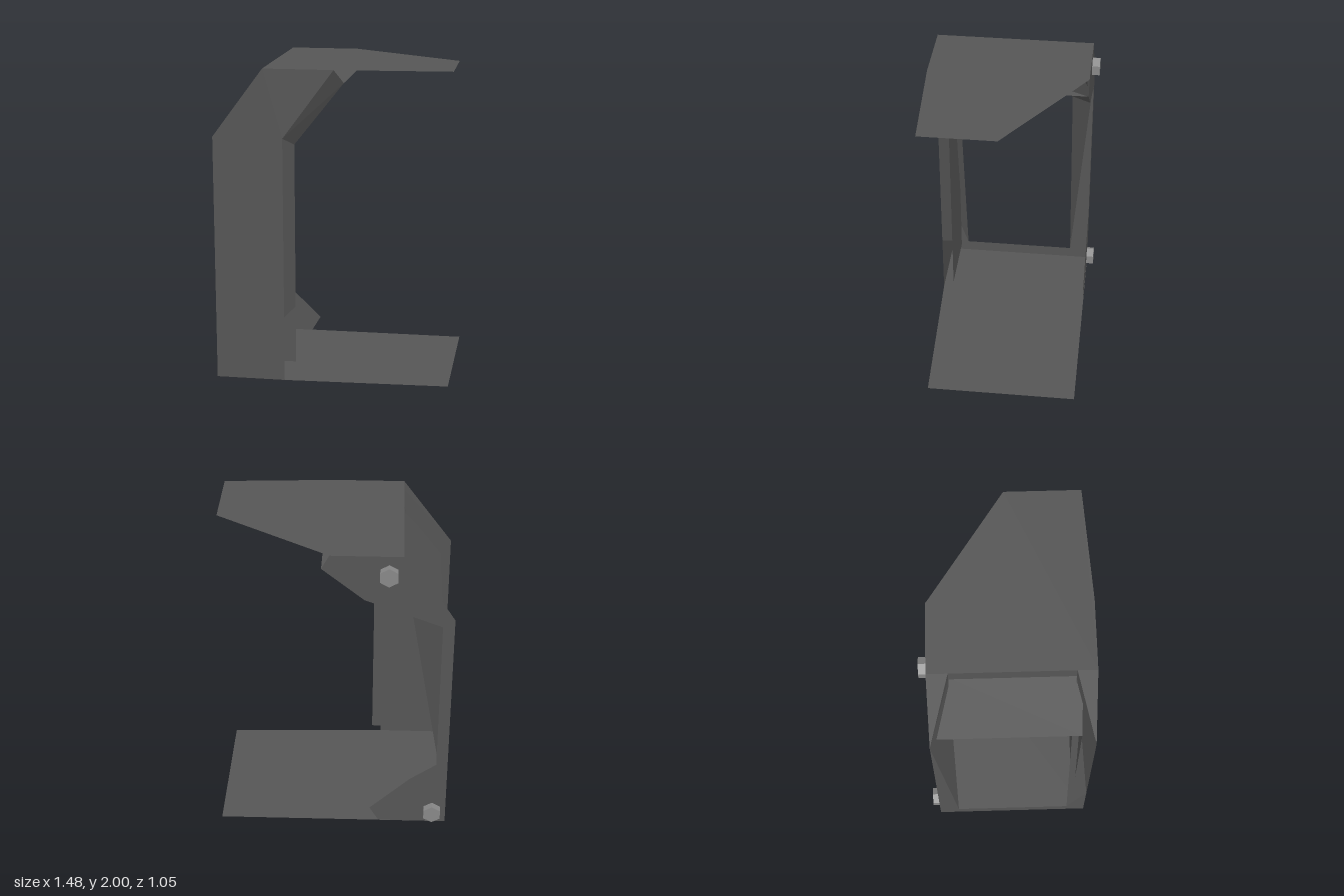
import * as THREE from 'three';

const bodyMat = new THREE.MeshStandardMaterial({ color: 0x555555, side: THREE.DoubleSide });
bodyMat.name = 'darkSteel';
const boltMat = new THREE.MeshStandardMaterial({ color: 0x888888 });
boltMat.name = 'boltSteel';

const FRONT = 0.52, INNER = 0.44, BACK = -0.48;

// Flat sheet cut in the xy plane at depth z
function wall(name, z, outline) {
  const shape = new THREE.Shape(outline.map(([x, y]) => new THREE.Vector2(x, y)));
  const mesh = new THREE.Mesh(new THREE.ShapeGeometry(shape), bodyMat);
  mesh.position.z = z;
  mesh.name = name;
  return mesh;
}

// Sheet made of convex faces, each a list of [x, y, z] corners
function sheet(name, faces) {
  const pos = [];
  for (const f of faces)
    for (let i = 1; i < f.length - 1; i++) pos.push(...f[0], ...f[i], ...f[i + 1]);
  const geo = new THREE.BufferGeometry();
  geo.setAttribute('position', new THREE.Float32BufferAttribute(pos, 3));
  geo.computeVertexNormals();
  const mesh = new THREE.Mesh(geo, bodyMat);
  mesh.name = name;
  return mesh;
}

export function createModel() {
  const g = new THREE.Group();
  g.name = 'bracket';

  // Side walls
  g.add(wall('frontWall', FRONT, [
    [-0.74, 0], [-0.74, 1.57], [-0.42, 2], [0.02, 2], [-0.3, 1.57], [-0.3, 0]]));
  g.add(wall('innerFrontWall', INNER, [
    [-0.67, 0.1], [-0.67, 1.52], [-0.37, 1.91], [0.07, 1.91], [-0.24, 1.52], [-0.24, 0.1]]));
  g.add(wall('backWall', BACK, [
    [-0.74, 0], [-0.74, 1.57], [-0.42, 2], [0.02, 2], [0.07, 1.91], [-0.19, 1.7],
    [-0.667, 1.52], [-0.667, 0.47], [-0.5, 0.35], [-0.24, 0.1], [-0.3, 0]]));

  // Bevel joining the two front walls along their inner edge
  g.add(sheet('frontFlange', [
    [[-0.3, 0.42, FRONT], [-0.24, 0.47, INNER], [-0.24, 1.52, INNER], [-0.3, 1.57, FRONT]],
    [[-0.3, 1.57, FRONT], [-0.24, 1.52, INNER], [0.07, 1.91, INNER], [0.02, 2, FRONT]]]));

  // Long top and bottom plates
  g.add(sheet('topPlate', [[
    [-0.42, 2, FRONT], [0.02, 2, FRONT], [0.74, 2, 0.475],
    [0.74, 2, 0], [0.02, 2, BACK], [-0.42, 2, BACK]]]));
  g.add(sheet('bottomPlate', [[
    [-0.74, 0, FRONT], [-0.3, 0, FRONT], [0.74, 0, 0.475],
    [0.74, 0, -0.49], [-0.74, 0, BACK]]]));

  // Inner ceiling and the sloping panel behind the end opening
  g.add(sheet('innerCeiling', [[
    [0.07, 1.91, BACK], [0.07, 1.91, INNER], [-0.37, 1.91, INNER], [-0.19, 1.7, BACK]]]));
  g.add(sheet('slopingPanel', [[
    [-0.67, 1.52, INNER], [-0.67, 1.52, BACK + 0.04],
    [-0.37, 1.91, BACK + 0.04], [-0.37, 1.91, INNER]]]));

  // Rim around the open end: lower strip, upper strip and two folded sides
  const rimFront = 0.4, rimBack = -0.352;
  g.add(sheet('lowerRim', [[
    [-0.74, 0, FRONT], [-0.74, 0, BACK], [-0.74, 0.075, rimBack], [-0.74, 0.075, rimFront]]]));
  g.add(sheet('upperRim', [[
    [-0.42, 2, rimFront], [-0.42, 2, rimBack], [-0.42, 1.9, rimBack], [-0.42, 1.9, rimFront]]]));
  for (const [name, zo, zi] of [['frontRim', FRONT, rimFront], ['backRim', BACK, rimBack]]) {
    const foot = [-0.74, 0, zo], low = [-0.74, 0.42, zo], bend = [-0.74, 1.57, zo];
    const crown = [-0.42, 2, zo], crownIn = [-0.42, 2, zi];
    const inLow = [-0.74, 0.075, zi], inHigh = [-0.42, 1.9, zi];
    const sides = zo > 0
      ? [[low, inLow, inHigh], [low, inHigh, bend]]
      : [[low, inLow, bend], [bend, inLow, inHigh]];
    g.add(sheet(name, [
      [foot, inLow, low], ...sides, [bend, inHigh, crownIn], [bend, crownIn, crown]]));
  }

  // Hexagonal bolt heads on the back wall
  const hex = new THREE.CylinderGeometry(0.0625, 0.0625, 0.05, 6).toNonIndexed();
  hex.rotateX(Math.PI / 2);
  hex.computeVertexNormals();
  for (const [name, x, y] of [['lowerBolt', -0.65, 0.092], ['upperBolt', -0.335, 1.882]]) {
    const bolt = new THREE.Mesh(hex, boltMat);
    bolt.position.set(x, y, BACK - 0.023);
    bolt.name = name;
    g.add(bolt);
  }
  return g;
}
